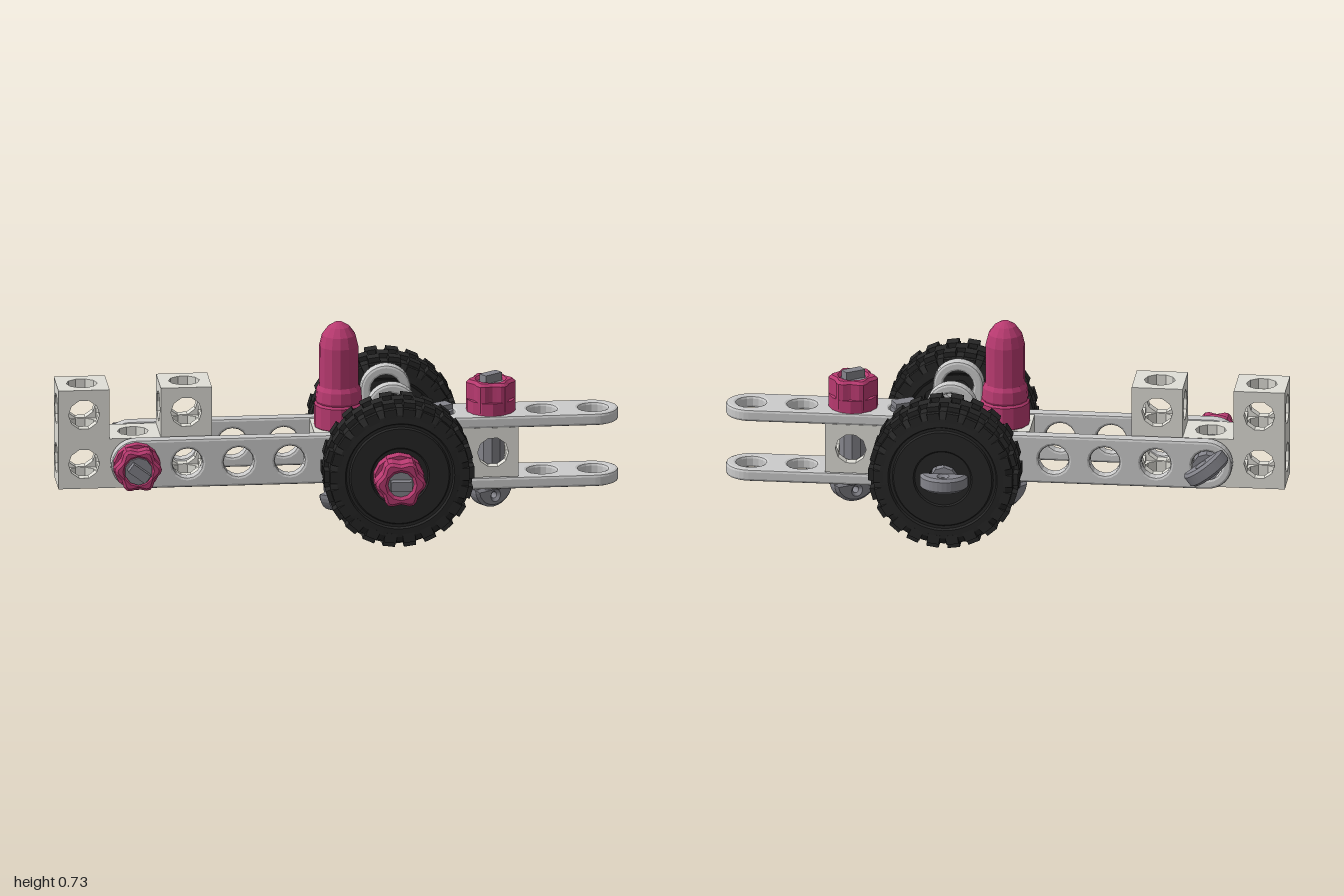
import * as THREE from 'three';
import { mergeGeometries } from 'three/addons/utils/BufferGeometryUtils.js';

const mat = (color) => new THREE.MeshStandardMaterial({ color, flatShading: true });
const P = 0.182;            // hole pitch
const ZC = -0.013;          // centre plane of the blocks
const Y0 = 0.262;           // height of the main hole row
const HOLE = 0.053;

export function createModel() {
  const root = new THREE.Group();
  const M = {
    block: mat(0xe0dfd8), strip: mat(0xcccccc), bolt: mat(0x85858c),
    pink: mat(0xb83a70), tyre: mat(0x262626),
  };

  function add(parent, name, geometry, material, x = 0, y = 0, z = 0) {
    const m = new THREE.Mesh(geometry, material);
    m.name = name;
    m.position.set(x, y, z);
    parent.add(m);
    return m;
  }
  function group(name, parent = root) {
    const g = new THREE.Group();
    g.name = name;
    parent.add(g);
    return g;
  }
  function punch(shape, x, y, r = HOLE) {
    shape.holes.push(new THREE.Path().absarc(x, y, r, 0, Math.PI * 2, true));
  }

  // Cube with a bore through all three axes, made of six perforated walls
  const h = P / 2, d = 0.175 / 2;
  const wall = new THREE.Shape([[-d, -d], [d, -d], [d, d], [-d, d]].map((p) => new THREE.Vector2(...p)));
  punch(wall, 0, 0);
  const walls = [[0, 0], [0, 1], [0, 2], [0, 3], [1, 0], [-1, 0]].map(([tilt, turn]) => {
    const g = new THREE.ExtrudeGeometry(wall, { depth: 0.035, bevelEnabled: false, curveSegments: 5 });
    return g.translate(0, 0, d - 0.035).rotateX(tilt * Math.PI / 2).rotateY(turn * Math.PI / 2);
  });
  const cubeGeo = mergeGeometries(walls);
  cubeGeo.scale(h / d, h / d, 1);
  function blocks(name, cells) {
    const g = group(name);
    cells.forEach(([i, j]) => add(g, 'boredCube', cubeGeo, M.block, i * P, Y0 + j * P, ZC));
  }
  blocks('rearBlock', [[-5, 0], [-4, 0], [-3, 0], [-5, 1], [-3, 1]]);
  blocks('frontBlock', [[0, 0], [1, 0], [2, 0], [3, 0]]);

  // Flat perforated strips
  const stripGeo = (shape) => new THREE.ExtrudeGeometry(shape, {
    depth: 0.025, bevelThickness: 0.01, bevelSize: 0.01, bevelOffset: -0.01, bevelSegments: 2, curveSegments: 8,
  }).translate(0, 0, -0.0125);
  const R = 0.09;

  // Side strips turn up by one hole at the axle
  const ell = new THREE.Shape();
  ell.absarc(-4 * P, 0, R, Math.PI / 2, Math.PI * 1.5, false);
  ell.absarc(P, 0, R, -Math.PI / 2, 0, false);
  ell.absarc(P, P, R, 0, Math.PI, false);
  ell.lineTo(P - R, R);
  for (let i = -4; i <= 1; i++) punch(ell, i * P, 0);
  punch(ell, P, P);
  const ellGeo = stripGeo(ell);
  add(root, 'leftSideStrip', ellGeo, M.strip, 0, Y0 + 0.006, 0.099);
  add(root, 'rightSideStrip', ellGeo, M.strip, 0, Y0 + 0.006, -0.128);

  // Fork strips above and below the front block
  const bar = new THREE.Shape();
  bar.absarc(2 * P, 0, R, Math.PI / 2, Math.PI * 1.5, false);
  bar.absarc(5 * P, 0, R, -Math.PI / 2, Math.PI / 2, false);
  for (let i = 2; i <= 5; i++) punch(bar, i * P, 0);
  const barGeo = stripGeo(bar).rotateX(-Math.PI / 2);
  add(root, 'upperForkStrip', barGeo, M.strip, 0, 0.373, ZC);
  add(root, 'lowerForkStrip', barGeo, M.strip, 0, 0.147, ZC);

  // Bolt along +y: half-round thumb head below the origin, shaft and keyed tip above
  function bolt(name, length, spin) {
    const g = group(name);
    const half = new THREE.Shape();
    half.absellipse(0, 0, 0.085, 0.075, Math.PI, Math.PI * 2, false);
    punch(half, 0, -0.033, 0.012);
    const head = new THREE.ExtrudeGeometry(half, {
      depth: 0.036, bevelThickness: 0.01, bevelSize: 0.01, bevelOffset: -0.01, bevelSegments: 1, curveSegments: 8,
    }).translate(0, 0, -0.018).rotateY(spin);
    add(g, 'head', head, M.bolt, 0, -0.01, 0);
    add(g, 'shaft', new THREE.CylinderGeometry(0.05, 0.05, length + 0.015, 10), M.bolt, 0, length / 2 - 0.0075, 0);
    add(g, 'keyedTip', new THREE.BoxGeometry(0.075, 0.035, 0.035).rotateY(spin), M.bolt, 0, length + 0.0125, 0);
    return g;
  }

  // Six-lobed nut along +y with a slightly wider collar
  function nut(name, radius, height) {
    const g = group(name);
    const lobes = new THREE.Shape();
    for (let i = 0; i < 36; i++) {
      const a = i / 36 * Math.PI * 2, r = radius * (0.91 + 0.09 * Math.cos(6 * a));
      lobes[i ? 'lineTo' : 'moveTo'](r * Math.cos(a), r * Math.sin(a));
    }
    punch(lobes, 0, 0, 0.046);
    const body = new THREE.ExtrudeGeometry(lobes, {
      depth: height - 0.02, bevelThickness: 0.01, bevelSize: 0.01, bevelOffset: -0.01, bevelSegments: 1, curveSegments: 6,
    }).translate(0, 0, 0.01).rotateX(-Math.PI / 2);
    add(g, 'lobedBody', body, M.pink);
    add(g, 'collar', new THREE.CylinderGeometry(radius, radius, height * 0.4, 14), M.pink, 0, height * 0.2, 0);
    return g;
  }
  const alongZ = (o, x, y, z) => { o.rotation.x = Math.PI / 2; o.position.set(x, y, z); return o; };

  // Vertical fastenings
  bolt('pegBolt', 0.28, 0.9).position.set(0, 0.125, ZC);
  bolt('forkBolt', 0.375, 0.6).position.set(3 * P, 0.125, ZC);
  nut('forkNut', 0.088, 0.115).position.set(3 * P, 0.395, ZC);
  const pin = group('forkPin');
  pin.position.set(2 * P, 0, ZC);
  add(pin, 'shaft', new THREE.CylinderGeometry(0.05, 0.05, 0.28, 10), M.bolt, 0, Y0, 0);
  add(pin, 'upperKey', new THREE.BoxGeometry(0.08, 0.04, 0.05).rotateY(0.5), M.bolt, 0, 0.4, 0);
  add(pin, 'lowerKey', new THREE.BoxGeometry(0.08, 0.04, 0.05).rotateY(0.5), M.bolt, 0, 0.115, 0);

  // Horizontal fastenings
  alongZ(bolt('rearBolt', 0.36, -0.65), -4 * P, Y0 + 0.006, -0.15).position.z = -0.155;
  alongZ(nut('rearNut', 0.084, 0.08), -4 * P, Y0 + 0.006, 0.121);
  alongZ(bolt('axle', 0.835, 0), P, 0.268, -0.385);
  alongZ(nut('axleNut', 0.09, 0.11), P, 0.268, 0.35);

  // Rounded peg standing on the front block
  const peg = [[0, 0.345], [0.08, 0.345], [0.088, 0.355], [0.088, 0.435], [0.08, 0.442], [0.084, 0.45], [0.08, 0.49],
    [0.071, 0.505], [0.07, 0.65], [0.06, 0.69], [0.038, 0.72], [0.015, 0.734], [0, 0.735]];
  add(root, 'peg', new THREE.LatheGeometry(peg.map((p) => new THREE.Vector2(...p)), 14), M.pink, 0.005, 0, ZC);

  // Wheel about y, outer face at +y
  const profile = [[0.18, -0.07], [0.195, -0.09], [0.225, -0.088], [0.25, -0.07], [0.25, 0.07], [0.225, 0.088],
    [0.195, 0.09], [0.19, 0.08], [0.18, 0.08], [0.175, 0.088], [0.105, 0.088], [0.1, 0.082], [0.05, 0.082],
    [0.05, -0.09], [0.085, -0.09], [0.085, -0.02], [0.18, -0.02], [0.18, -0.07]];
  const tyreGeo = new THREE.LatheGeometry(profile.map((p) => new THREE.Vector2(...p)), 44);
  const web = new THREE.Shape().absarc(0, 0, 0.185, 0, Math.PI * 2, false);
  punch(web, 0, 0, 0.08);
  for (let i = 0; i < 8; i++) punch(web, 0.132 * Math.cos(i * Math.PI / 4), 0.132 * Math.sin(i * Math.PI / 4), 0.032);
  const webGeo = new THREE.ExtrudeGeometry(web, { depth: 0.03, bevelEnabled: false, curveSegments: 12 })
    .rotateX(-Math.PI / 2).translate(0, -0.08, 0);

  // Tread: staggered centre lugs, side lugs and lower shoulder lugs
  const lugs = [], N = 22;
  for (let i = 0; i < N; i++) {
    const lug = (radius, y, width, offset) => lugs.push(new THREE.BoxGeometry(0.034, width, 0.044)
      .translate(radius, y, 0).rotateY((i + offset) / N * Math.PI * 2));
    lug(0.249, 0, 0.05, 0.5);
    for (const s of [-1, 1]) {
      lug(0.25, s * 0.047, 0.046, 0);
      lug(0.231, s * 0.076, 0.026, 0);
    }
  }
  const treadGeo = mergeGeometries(lugs);
  for (const [name, z, side] of [['leftWheel', 0.26, 1], ['rightWheel', -0.295, -1]]) {
    const g = group(name);
    add(g, 'tyre', tyreGeo, M.tyre);
    add(g, 'perforatedWeb', webGeo, M.tyre);
    add(g, 'tread', treadGeo, M.tyre);
    g.rotation.x = side * Math.PI / 2;
    g.position.set(P + 0.006, 0.268, z);
  }

  // Spacers between side strips and wheels
  for (const [name, z] of [['leftSpacer', 0.146], ['rightSpacer', -0.184]]) {
    alongZ(add(root, name, new THREE.CylinderGeometry(0.088, 0.088, 0.046, 14), M.pink), P, 0.265, z);
  }
  return root;
}
